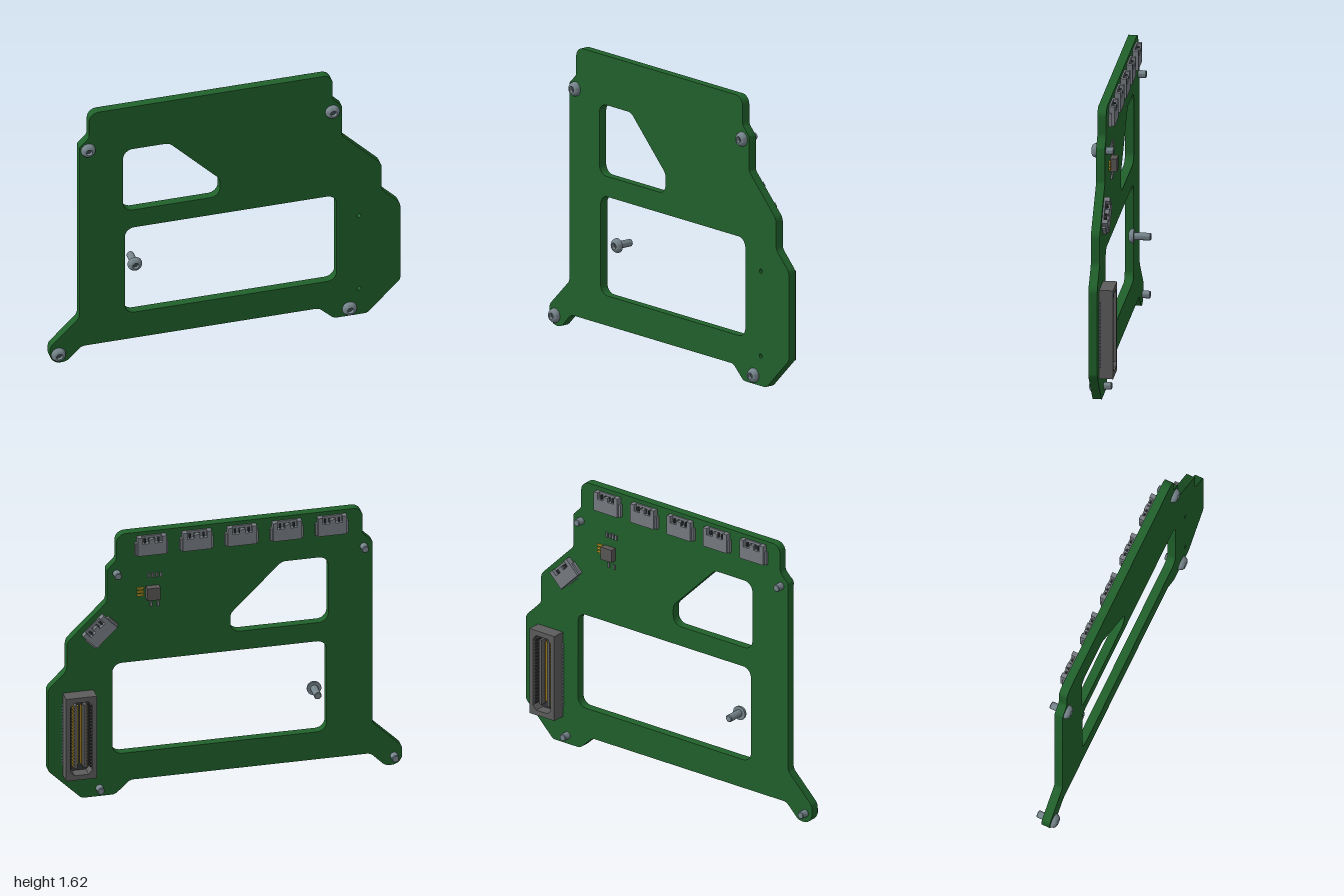
import * as THREE from 'three';
import { toCreasedNormals } from 'three/addons/utils/BufferGeometryUtils.js';

const mat = (name, color) => {
  const m = new THREE.MeshStandardMaterial({ color });
  m.name = name;
  return m;
};

// Traces a polygon of [x, y, radius] corners with true arcs
function roundedPath(path, pts) {
  const n = pts.length;
  pts.forEach(([x, y, r = 0], i) => {
    const p = new THREE.Vector2(x, y);
    const [ax, ay] = pts[(i + n - 1) % n], [bx, by] = pts[(i + 1) % n];
    const din = new THREE.Vector2(x - ax, y - ay).normalize();
    const dout = new THREE.Vector2(bx - x, by - y).normalize();
    if (r === 0) {
      if (i === 0) path.moveTo(x, y); else path.lineTo(x, y);
      return;
    }
    const turn = Math.atan2(din.cross(dout), din.dot(dout));
    const side = Math.sign(turn);
    const start = p.clone().addScaledVector(din, -r * Math.tan(Math.abs(turn) / 2));
    const cx = start.x - din.y * r * side, cy = start.y + din.x * r * side;
    const a0 = Math.atan2(start.y - cy, start.x - cx);
    if (i === 0) path.moveTo(start.x, start.y); else path.lineTo(start.x, start.y);
    path.absarc(cx, cy, r, a0, a0 + turn, side < 0);
  });
  path.closePath();
  return path;
}

const BACK = 0.015, FRONT = 0.064;

export function createModel() {
  const model = new THREE.Group();
  const green = mat('board green', 0x20612b);
  const steel = mat('screw steel', 0x75848b);
  const socketGrey = mat('socket dark grey', 0x40484c);
  const housing = mat('housing grey', 0x777c82);
  const charcoal = mat('header charcoal', 0x5c5c5c);
  const dark = mat('recess dark', 0x343638);
  const gold = mat('contact gold', 0xc9a227);
  const chipGrey = mat('chip grey', 0x5a5656);

  const add = (parent, name, geo, m) => {
    const mesh = new THREE.Mesh(geo, m);
    mesh.name = name;
    parent.add(mesh);
    return mesh;
  };
  // Box centred at x, y that spans z0..z1
  const box = (parent, name, m, x, y, w, h, z0, z1) => {
    const b = add(parent, name, new THREE.BoxGeometry(w, h, Math.abs(z1 - z0)), m);
    b.position.set(x, y, (z0 + z1) / 2);
    return b;
  };
  const plate = (parent, name, m, shape, z0, z1) => {
    const geo = new THREE.ExtrudeGeometry(shape, { depth: z1 - z0, bevelEnabled: false, curveSegments: 8 });
    geo.translate(0, 0, z0);
    return add(parent, name, toCreasedNormals(geo, 0.6), m);
  };

  // Circuit board outline, counter-clockwise from the lower left lobe
  const outline = roundedPath(new THREE.Shape(), [
    [-1, 0.004, 0.06], [-0.905, 0.004, 0.06], [-0.82, 0.09, 0.05], [0.535, 0.09, 0.05],
    [0.62, 0.01, 0.05], [0.81, 0.01, 0.04], [1, 0.2, 0.04], [1, 0.705, 0.06],
    [0.893, 0.812, 0.05], [0.893, 0.985, 0.06], [0.667, 1.212, 0.04], [0.667, 1.41, 0.02],
    [0.613, 1.465, 0.04], [0.613, 1.626, 0.055], [-0.777, 1.626, 0.055], [-0.777, 1.465, 0.04],
    [-0.833, 1.41, 0.02], [-0.833, 0.28, 0.05], [-1, 0.115, 0.05],
  ]);
  outline.holes.push(
    roundedPath(new THREE.Path(), [
      [-0.573, 0.26, 0.055], [0.636, 0.26, 0.055], [0.636, 0.824, 0.055], [-0.573, 0.824, 0.055],
    ]),
    roundedPath(new THREE.Path(), [
      [-0.583, 0.94, 0.055], [-0.03, 0.94, 0.055], [-0.03, 1.055, 0.06], [-0.32, 1.345, 0.06], [-0.583, 1.345, 0.055],
    ]),
  );
  for (const y of [0.18, 0.663]) {
    outline.holes.push(new THREE.Path().absarc(0.764, y, 0.012, 0, Math.PI * 2, true));
  }
  plate(model, 'board', green, outline, BACK, FRONT);

  // Button head screws, one of them loose in the large window
  const screwProfile = [
    [0, -0.094], [0.017, -0.094], [0.021, -0.09], [0.021, 0], [0.041, 0], [0.041, 0.007],
    [0.037, 0.018], [0.03, 0.026], [0.022, 0.03], [0.018, 0.03], [0.016, 0.012], [0, 0.012],
  ].map(([x, y]) => new THREE.Vector2(x, y));
  const screwGeo = toCreasedNormals(new THREE.LatheGeometry(screwProfile, 24).rotateX(Math.PI / 2), 0.6);
  const socketGeo = new THREE.CircleGeometry(0.016, 6);
  for (const [x, y, z] of [
    [-0.783, 1.385, FRONT], [0.612, 1.385, FRONT], [-0.953, 0.06, FRONT], [0.709, 0.06, FRONT], [-0.5, 0.54, 0.002],
  ]) {
    const screw = new THREE.Group();
    screw.name = 'screw';
    add(screw, 'screwBody', screwGeo, steel);
    add(screw, 'hexSocket', socketGeo, socketGrey).position.z = 0.0135;
    screw.position.set(x, y, z);
    model.add(screw);
  }

  // Side entry plugs; the notched side (+y) looks to the board edge
  const plugShape = roundedPath(new THREE.Shape(), [
    [-0.082, -0.052], [0.082, -0.052], [0.082, 0.06], [0.056, 0.06], [0.056, 0.022], [0.016, 0.022], [0.016, 0.045],
    [-0.016, 0.045], [-0.016, 0.022], [-0.056, 0.022], [-0.056, 0.06], [-0.082, 0.06],
  ]);
  const addPlug = (x, y, angle) => {
    const plug = new THREE.Group();
    plug.name = 'plugConnector';
    plate(plug, 'plugHousing', housing, plugShape, -0.018, 0.006);
    box(plug, 'plugBase', housing, 0, 0.004, 0.164, 0.112, 0.006, BACK);
    for (const s of [-1, 1]) box(plug, 'plugFlange', housing, s * 0.087, -0.015, 0.012, 0.075, -0.004, BACK);
    for (let i = 0; i < 4; i++) {
      const px = (i - 1.5) * 0.026;
      box(plug, 'plugContact', dark, px, 0.034, 0.009, 0.024, -0.008, 0.006);
      box(plug, 'plugLead', steel, px, -0.055, 0.009, 0.01, 0.004, BACK);
    }
    plug.position.set(x, y, 0);
    plug.rotation.z = angle;
    model.add(plug);
  };
  for (let i = 0; i < 5; i++) addPlug(-0.6 + i * 0.2545, 1.543, 0);
  addPlug(0.708, 1.043, -Math.PI / 4);

  // Tall header with an open shroud and two rows of contacts
  const header = new THREE.Group();
  header.name = 'header';
  header.position.set(0.828, 0.42, 0);
  model.add(header);
  const shroud = roundedPath(new THREE.Shape(), [
    [-0.087, -0.255], [0.087, -0.255], [0.087, 0.255], [-0.087, 0.255],
  ]);
  shroud.holes.push(roundedPath(new THREE.Path(), [
    [-0.062, -0.2], [-0.04, -0.225], [0.04, -0.225], [0.062, -0.2],
    [0.062, 0.2], [0.04, 0.225], [-0.04, 0.225], [-0.062, 0.2],
  ]));
  plate(header, 'shroud', charcoal, shroud, -0.062, BACK);
  box(header, 'shroudFloor', dark, 0, 0, 0.13, 0.455, 0, 0.012);
  for (const s of [-1, 1]) {
    box(header, 'contactRail', charcoal, s * 0.027, 0, 0.018, 0.39, -0.04, 0);
    box(header, 'contactStrip', gold, s * 0.009, 0, 0.006, 0.36, -0.02, 0);
    for (let i = 0; i < 20; i++) {
      const y = (i - 9.5) * 0.0195;
      box(header, 'contact', gold, s * 0.038, y, 0.006, 0.008, -0.034, 0);
      box(header, 'shroudRib', dark, s * 0.058, y, 0.01, 0.009, -0.045, 0);
      box(header, 'headerLead', steel, s * 0.09, y, 0.012, 0.008, 0.008, BACK);
    }
  }

  // Chip with its small neighbours
  box(model, 'chip', chipGrey, 0.41, 1.248, 0.075, 0.075, -0.023, BACK);
  for (let i = 0; i < 3; i++) {
    box(model, 'goldPad', gold, 0.478, 1.235 + i * 0.02, 0.036, 0.011, 0.007, BACK);
  }
  for (let i = 0; i < 4; i++) {
    box(model, 'resistor', housing, 0.365 + i * 0.022, 1.352, 0.012, 0.028, 0.005, BACK);
  }
  for (const x of [0.378, 0.417]) box(model, 'capacitor', housing, x, 1.172, 0.012, 0.028, 0.005, BACK);

  return model;
}
